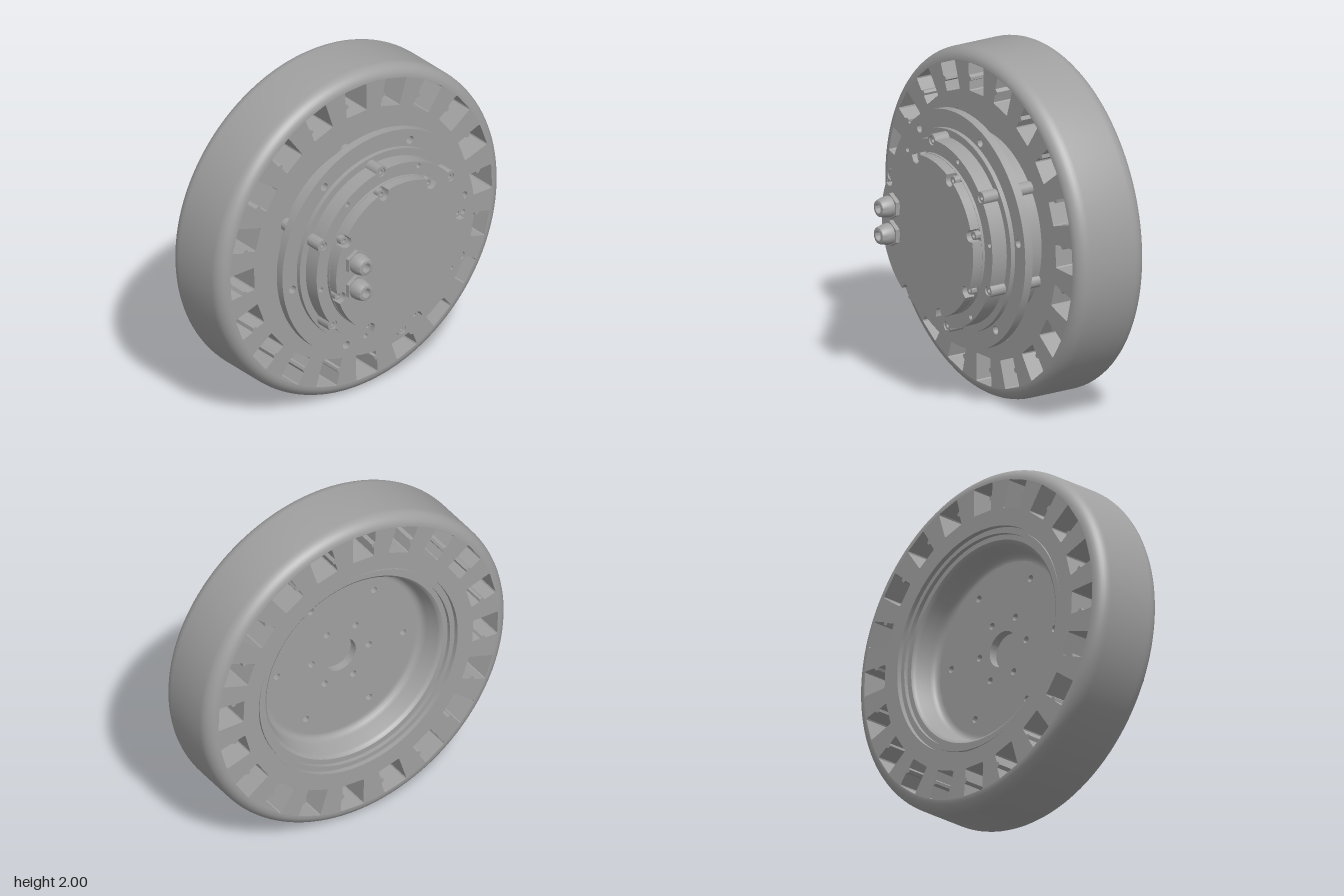
import * as THREE from 'three';
import { toCreasedNormals } from 'three/addons/utils/BufferGeometryUtils.js';

const grey = new THREE.MeshStandardMaterial({ color: 0xa0a0a0 });
grey.name = 'metal grey';
const DEG = Math.PI / 180;
const CENTRE_Y = 1;

export function createModel() {
  const model = new THREE.Group();
  model.name = 'hubMotorWheel';
  const axle = new THREE.Group();
  axle.name = 'axle';
  axle.position.y = CENTRE_Y;
  model.add(axle);

  const add = (name, geometry, x = 0, y = 0, z = 0) => {
    const mesh = new THREE.Mesh(toCreasedNormals(geometry, 0.5), grey);
    mesh.name = name;
    mesh.position.set(x, y, z);
    axle.add(mesh);
    return mesh;
  };

  // Turned part about the z axis, profile given as [radius, z]
  const turned = (points, segments = 96) =>
    new THREE.LatheGeometry(points.map(([r, z]) => new THREE.Vector2(r, z)), segments).rotateX(Math.PI / 2);

  const disc = (r) => new THREE.Shape().absarc(0, 0, r, 0, Math.PI * 2, false);

  const plate = (shape, z0, z1, curveSegments = 64) =>
    new THREE.ExtrudeGeometry(shape, { depth: z1 - z0, bevelEnabled: false, curveSegments }).translate(0, 0, z0);

  // Evenly spaced positions on a circle
  const around = (count, radius, startDeg) => Array.from({ length: count }, (_, i) => {
    const a = startDeg * DEG + (i * Math.PI * 2) / count;
    return [radius * Math.cos(a), radius * Math.sin(a), a];
  });

  const drill = (shape, spots, r) => spots.forEach(([x, y]) =>
    shape.holes.push(new THREE.Path().absarc(x, y, r, 0, Math.PI * 2, true)));

  // Circle with round lugs (sign 1) or round notches (sign -1) on its edge
  const lobed = (radius, count, startDeg, c, R, sign) => {
    const points = [];
    const step = (Math.PI * 2) / count;
    for (let i = 0; i < 720; i++) {
      const a = (i / 720) * Math.PI * 2;
      let d = (a - startDeg * DEG) % step;
      d -= Math.round(d / step) * step;
      const s = c * Math.sin(d);
      let r = radius;
      if (Math.abs(s) < R) {
        const edge = c * Math.cos(d) + sign * Math.sqrt(R * R - s * s);
        r = sign > 0 ? Math.max(r, edge) : Math.min(r, edge);
      }
      points.push(new THREE.Vector2(r * Math.cos(a), r * Math.sin(a)));
    }
    return new THREE.Shape(points);
  };

  // Tyre body: annulus with twenty through pockets, each with a small rib on one side
  const BACK = -0.455, FRONT = -0.005;
  const ring = disc(0.93);
  ring.holes.push(new THREE.Path().absarc(0, 0, 0.66, 0, Math.PI * 2, true));
  const pocket = [
    [0.765, -0.07], [0.92, -0.076], [0.926, -0.07], [0.926, 0.07], [0.92, 0.076],
    [0.85, 0.075], [0.838, 0.056], [0.822, 0.056], [0.815, 0.07], [0.765, 0.07], [0.76, 0.064], [0.76, -0.064],
  ];
  for (const [, , a] of around(20, 1, 2.5)) {
    ring.holes.push(new THREE.Path(pocket.map(([u, v]) => new THREE.Vector2(
      u * Math.cos(a) - v * Math.sin(a), u * Math.sin(a) + v * Math.cos(a)))));
  }
  add('tyreBody', plate(ring, BACK, FRONT));

  // Tread with rounded shoulders
  const tread = [];
  for (let i = 0; i <= 8; i++) {
    const t = (i / 8) * Math.PI / 2;
    tread.push([0.93 + 0.07 * Math.sin(t), BACK + 0.08 * (1 - Math.cos(t))]);
  }
  const mirrored = tread.map(([r, z]) => [r, BACK + FRONT - z]).reverse();
  add('tread', turned([...tread, ...mirrored], 128));

  // Wheel hub with the dished recess at the back
  add('hubDish', turned([
    [0.5, -0.27], [0.515, -0.27], [0.53, -0.275], [0.542, -0.287], [0.55, -0.31], [0.57, -0.39], [0.577, -0.405],
    [0.59, -0.415], [0.62, -0.415], [0.62, -0.44], [0.645, -0.44], [0.645, -0.425], [0.67, -0.425],
    [0.67, -0.06], [0.4, -0.06],
  ]));
  const floor = disc(0.51);
  drill(floor, [[0, 0]], 0.105);
  drill(floor, around(6, 0.19, 2.5), 0.02);
  drill(floor, around(6, 0.42, 2.5), 0.02);
  add('dishFloor', plate(floor, -0.27, -0.22));
  add('floorBacking', plate(disc(0.51), -0.22, -0.2));

  // Motor housing behind the flange, with bolt lugs
  add('rearHousing', plate(lobed(0.535, 6, 38, 0.527, 0.038, 1), -0.1, 0.1));

  // Mounting flange and its raised step
  const flange = disc(0.68);
  drill(flange, around(6, 0.615, 8.4), 0.024);
  add('mountingFlange', plate(flange, 0.095, 0.145));
  add('flangeStep', plate(disc(0.578), 0.145, 0.172));

  // Front housing
  const lugs = around(6, 0.527, 38);
  const housing = lobed(0.535, 6, 38, 0.527, 0.038, 1);
  drill(housing, around(6, 0.51, 8.4), 0.015);
  drill(housing, lugs, 0.026);
  add('frontHousing', plate(housing, 0.172, 0.268, 16));

  // Socket-head screws, recessed in the middle
  const screw = (name, [x, y], r, z0, z1) => add(name, turned([
    [r, z0], [r, z1], [r * 0.5, z1], [r * 0.5, z1 - 0.015], [0, z1 - 0.015],
  ], 20), x, y);
  lugs.forEach((p) => screw('housingScrew', p, 0.024, 0.18, 0.26));

  // Front cover with notches around its screws
  add('coverBase', plate(disc(0.46), 0.268, 0.285));
  add('cover', plate(lobed(0.458, 8, 15.5, 0.442, 0.034, -1), 0.285, 0.345));
  around(8, 0.438, 15.5).forEach((p) => screw('coverScrew', p, 0.025, 0.28, 0.318));

  // Cable glands: neck, hex nut and tapered cap with a bore
  for (const y of [0.085, -0.075]) {
    const neck = turned([[0.055, 0.34], [0.055, 0.36]], 32);
    add('glandNeck', neck, -0.33, y);
    const nut = new THREE.CylinderGeometry(0.076, 0.076, 0.025, 6).rotateX(Math.PI / 2);
    add('glandNut', nut, -0.33, y, 0.3675);
    add('glandCap', turned([
      [0.06, 0.38], [0.06, 0.405], [0.05, 0.445], [0.046, 0.452], [0.038, 0.455],
      [0.028, 0.455], [0.028, 0.41], [0, 0.41],
    ], 32), -0.33, y);
  }
  return model;
}
